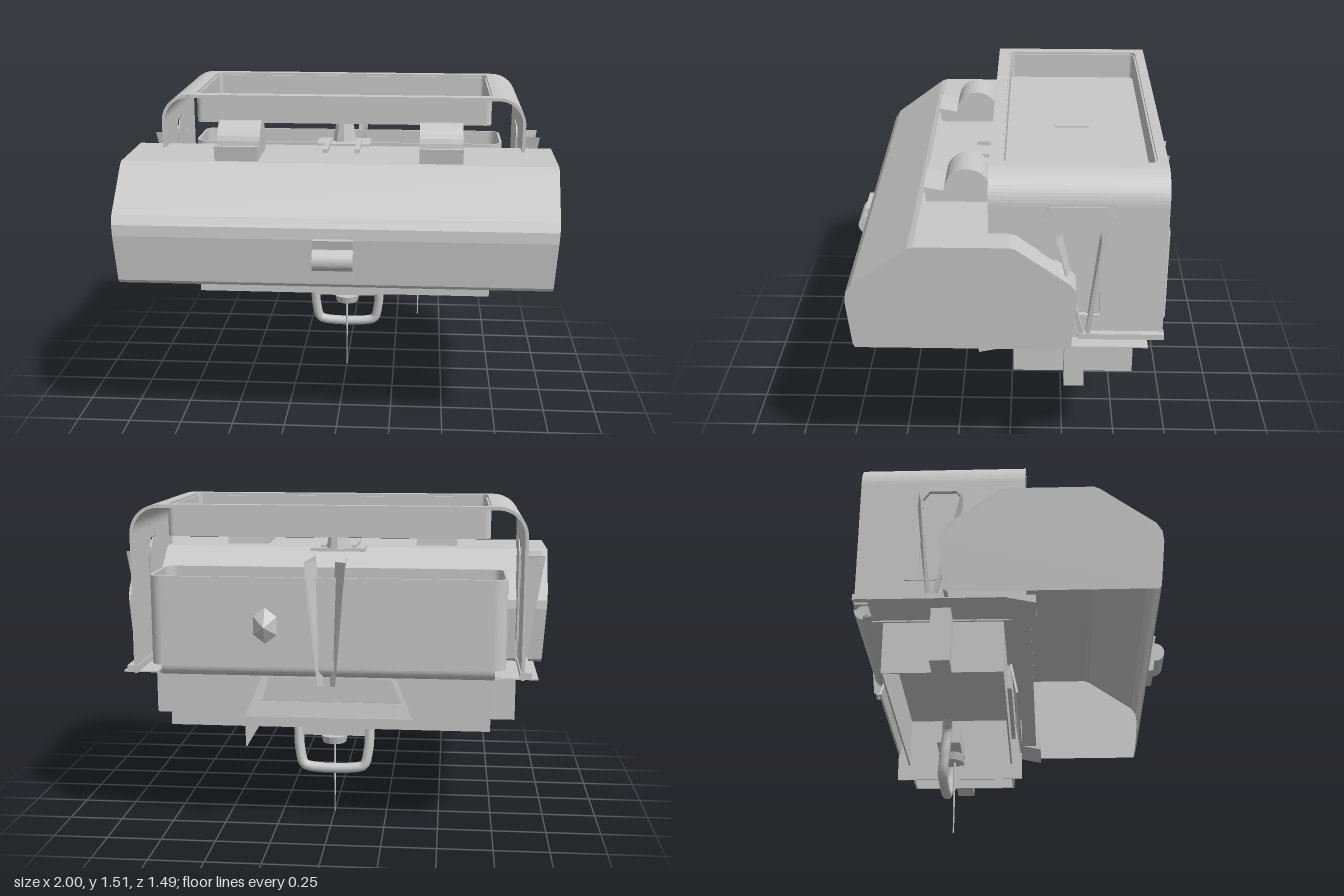
import * as THREE from 'three';

export function createModel() {
  const model = new THREE.Group();
  const grey = new THREE.MeshStandardMaterial({ color: 0xc8c8c8, side: THREE.DoubleSide, flatShading: true });
  grey.name = 'plain grey';
  const smooth = new THREE.MeshStandardMaterial({ color: 0xc8c8c8, side: THREE.DoubleSide });
  smooth.name = 'smooth grey';

  const add = (name, geometry, material = grey) => {
    const mesh = new THREE.Mesh(geometry, material);
    mesh.name = name;
    model.add(mesh);
    return mesh;
  };
  // Box given by its limits on each axis
  const block = (name, x0, x1, y0, y1, z0, z1) => add(name, new THREE.BoxGeometry(x1 - x0, y1 - y0, z1 - z0)
    .translate((x0 + x1) / 2, (y0 + y1) / 2, (z0 + z1) / 2));
  const shapeOf = pts => new THREE.Shape(pts.map(p => new THREE.Vector2(...p)));
  const extrude = (shape, depth) => new THREE.ExtrudeGeometry(shape, { depth, bevelEnabled: false, curveSegments: 12 });
  // Profile in (z, y), extruded from x0 to x1
  const zy = pts => shapeOf(pts.map(([z, y]) => [-z, y]));
  const acrossX = (name, shape, x0, x1) => add(name, extrude(shape, x1 - x0)
    .applyMatrix4(new THREE.Matrix4().set(0, 0, 1, x0, 0, 1, 0, 0, -1, 0, 0, 0, 0, 0, 0, 1)));
  // Rounded rectangle in (x, -z)
  const roundRect = (x0, x1, z0, z1, r, Kind = THREE.Shape) => {
    const s = new Kind();
    s.moveTo(x0 + r, -z1);
    s.lineTo(x1 - r, -z1).absarc(x1 - r, -z1 + r, r, -Math.PI / 2, 0);
    s.lineTo(x1, -z0 - r).absarc(x1 - r, -z0 - r, r, 0, Math.PI / 2);
    s.lineTo(x0 + r, -z0).absarc(x0 + r, -z0 - r, r, Math.PI / 2, Math.PI);
    s.lineTo(x0, -z1 + r).absarc(x0 + r, -z1 + r, r, Math.PI, Math.PI * 1.5);
    return s;
  };
  const slab = (name, shape, y0, y1) => add(name, extrude(shape, y1 - y0).rotateX(-Math.PI / 2).translate(0, y0, 0));
  const ring = (name, x0, x1, z0, z1, r, t, y0, y1) => {
    const s = roundRect(x0, x1, z0, z1, r);
    s.holes.push(roundRect(x0 + t, x1 - t, z0 + t, z1 - t, r - t, THREE.Path));
    return slab(name, s, y0, y1);
  };
  const arcPts = (cz, cy, r, a0, a1, n = 14) => Array.from({ length: n + 1 }, (_, i) => {
    const a = a0 + (a1 - a0) * i / n;
    return [cz + r * Math.cos(a), cy + r * Math.sin(a)];
  });
  // Folded blade: a broad face and a narrow flange sharing the outer edge
  const blade = (name, side, pts) => {
    const g = new THREE.BufferGeometry().setFromPoints(pts.map(([x, y, z]) => new THREE.Vector3(side * x, y, z)));
    g.setIndex([0, 1, 2, 0, 2, 3, 1, 4, 5, 1, 5, 2]);
    g.computeVertexNormals();
    add(name, g);
  };

  // Front hood: open-bottomed shell, slightly wider at the top
  const hood = [[0.65, 0.755], [0.66, 0.77], [0.68, 0.98], [0.675, 1.03], [0.65, 1.07], [0.41, 1.245], [0.385, 1.255],
    [-0.01, 1.255], [-0.035, 1.247], [-0.255, 1.085], [-0.285, 1.05], [-0.29, 1.01], [-0.27, 0.77], [-0.25, 0.755]];
  const halfWidth = y => 0.97 + (y - 0.755) * 0.06;
  const strip = [];
  for (let i = 0; i < hood.length - 1; i++) {
    const [[za, ya], [zb, yb]] = [hood[i], hood[i + 1]];
    const a = halfWidth(ya), b = halfWidth(yb);
    strip.push([-a, ya, za], [a, ya, za], [b, yb, zb], [-a, ya, za], [b, yb, zb], [-b, yb, zb]);
  }
  const hoodGeo = new THREE.BufferGeometry().setFromPoints(strip.map(p => new THREE.Vector3(...p)));
  hoodGeo.computeVertexNormals();
  add('hoodShell', hoodGeo);
  for (const s of [1, -1]) {
    const end = new THREE.ShapeGeometry(zy(hood));
    const p = end.attributes.position;
    for (let i = 0; i < p.count; i++) {
      const [a, y] = [p.getX(i), p.getY(i)];
      p.setXYZ(i, s * halfWidth(y), y, -a);
    }
    if (s < 0) end.setIndex([...end.index.array].reverse());
    end.computeVertexNormals();
    add('hoodEnd', end);
  }

  // Domed hinges on the hood and the latch on its front
  const hinge = zy([[0.08, 1.256], [0.365, 1.256], [0.375, 1.325], [0.29, 1.308], ...arcPts(0.185, 1.31, 0.101, 0, Math.PI)]);
  for (const x of [-0.57, 0.37]) acrossX('hinge', hinge, x, x + 0.2);
  acrossX('frontLatch', zy([[0.664, 0.795], [0.69, 0.795], [0.695, 0.85],
    ...arcPts(0.7, 0.895, 0.048, -Math.PI / 2, Math.PI / 2), [0.71, 0.985], [0.682, 0.985]]), -0.09, 0.09);

  // Arched frame: top rim with sunken tray
  const rim = roundRect(-0.74, 0.74, -0.665, 0.083, 0.003);
  rim.holes.push(roundRect(-0.71, 0.71, -0.62, 0.03, 0.03, THREE.Path));
  slab('topRim', rim, 1.497, 1.512);
  ring('trayWall', -0.71, 0.71, -0.62, 0.03, 0.03, 0.008, 1.37, 1.5);
  slab('trayFloor', roundRect(-0.71, 0.71, -0.62, 0.03, 0.03), 1.37, 1.378);

  const slot = [[-0.19, 0.87], [-0.39, 0.87], [-0.38, 1.29], [-0.35, 1.33], [-0.23, 1.33], [-0.2, 1.29]];
  for (const s of [1, -1]) {
    // Mirrored x limits for a part on either side
    const span = (a, b) => s > 0 ? [a, b] : [-b, -a];
    const tip = s > 0 ? 0 : Math.PI;
    add('archShoulder', extrude(shapeOf([...arcPts(s * 0.74, 1.382, 0.13, Math.PI / 2, tip),
      ...arcPts(s * 0.74, 1.382, 0.115, tip, Math.PI / 2)]), 0.748).translate(0, 0, -0.665));

    // Side panel with a recessed, backed slot and thin trim
    const panel = zy([[0.083, 0.755], [-0.665, 0.755], [-0.665, 1.384], [0.083, 1.384]]);
    panel.holes.push(new THREE.Path(zy(slot).getPoints()));
    acrossX('sidePanel', panel, ...span(0.855, 0.87));
    const trim = zy([[-0.13, 0.87], [-0.45, 0.87], [-0.45, 1.33], [-0.41, 1.38], [-0.17, 1.38], [-0.13, 1.33]]);
    trim.holes.push(new THREE.Path(zy(slot).getPoints()));
    acrossX('slotTrim', trim, ...span(0.87, 0.875));
    acrossX('slotBack', zy(slot), ...span(0.845, 0.85));

    // Two flared guide blades in each slot, converging downwards
    for (const [zt, zb] of [[-0.2, -0.31], [-0.385, -0.33]]) {
      blade('sideGuideBlade', s, [[0.845, 1.27, zt], [0.965, 1.27, zt], [0.89, 0.765, zb], [0.845, 0.765, zb],
        [0.845, 1.25, zt - 0.025], [0.89, 0.765, zb - 0.02]]);
    }
    // Foot ledge, thin end plate with drooping front lip, and post
    block('footLedge', ...span(0.85, 0.9), 0.765, 0.79, -0.67, -0.3);
    block('endPlate', ...span(0.73, 0.935), 0.744, 0.75, -0.6, 0.12);
    acrossX('endPlateLip', zy([[0.125, 0.755], [0.125, 0.715], [0.0, 0.742], [0.0, 0.75]]), ...span(0.73, 0.935));
    block('endPost', ...span(0.73, 0.85), 0.49, 0.745, -0.333, -0.245);

    // Rear guide boards and prongs over the hood
    blade('rearGuideBlade', s, [[0.07, 1.27, -0.45], [0.09, 1.275, -0.742], [0.04, 0.715, -0.69], [0.02, 0.715, -0.62],
      [0.04, 1.27, -0.68], [0.015, 0.715, -0.67]]);
    block('hoodProng', ...span(0.063, 0.087), 1.256, 1.275, -0.1, 0.17);
  }

  // Rear bin, open at the top, with a round-edged bottom
  ring('rearBinWall', -0.79, 0.79, -0.688, -0.34, 0.06, 0.012, 0.8, 1.2);
  slab('rearBinFloor', roundRect(-0.77, 0.77, -0.65, -0.35, 0.05), 0.75, 0.765);
  acrossX('rearBinEdge', zy([...arcPts(-0.638, 0.8, 0.05, Math.PI, Math.PI * 1.5), [-0.638, 0.8]]), -0.74, 0.74);
  const knob = add('diamondKnob', new THREE.ConeGeometry(0.085, 0.06, 6).rotateX(-Math.PI / 2));
  knob.scale.x = 0.75;
  knob.position.set(0.27, 0.985, -0.715);

  // Centre stud under the tray, with a fin through its floor
  add('stud', new THREE.CylinderGeometry(0.04, 0.06, 0.11, 10).translate(0, 1.315, -0.1));
  block('studBase', -0.13, 0.13, 1.25, 1.265, -0.15, 0.0);
  block('trayFin', -0.045, 0.0, 1.36, 1.385, -0.36, -0.2);

  // Lower body, open underneath, with floor plate and cross plate
  block('floorPlate', -0.74, 0.74, 0.737, 0.748, -0.6, 0.1);
  block('lowerFront', -0.73, 0.73, 0.49, 0.74, -0.028, -0.02);
  block('lowerBack', -0.73, 0.73, 0.49, 0.74, -0.555, -0.547);
  for (const x of [-0.73, 0.722]) block('lowerEnd', x, x + 0.008, 0.49, 0.74, -0.555, -0.02);
  block('crossPlate', 0.371, 0.377, 0.41, 0.75, -0.61, 0.03);

  // Sloping trapezoid flaps front and back
  for (const s of [1, -1]) {
    const frame = shapeOf([[-0.38, 0], [0.38, 0], [0.3, 0.19], [-0.3, 0.19]]);
    frame.holes.push(new THREE.Path([[-0.3, 0.07], [0.33, 0.07], [0.28, 0.18], [-0.27, 0.18]].map(p => new THREE.Vector2(...p))));
    const flap = add('flap', extrude(frame, 0.01).rotateX(-0.17));
    flap.position.set(0, 0.55, s > 0 ? 0.024 : -0.602);
    if (s < 0) flap.rotation.y = Math.PI;
    block('flapPanel', -0.3, 0.32, 0.61, 0.73, s > 0 ? -0.02 : -0.58, s > 0 ? 0.0 : -0.555);
  }

  // Carry loop, hub and needle below
  const corners = [[-0.22, 0.48], [-0.18, 0.46], [-0.165, 0.33], [-0.145, 0.25], [-0.11, 0.236], [0.11, 0.236],
    [0.145, 0.25], [0.165, 0.33], [0.18, 0.46], [0.22, 0.48]];
  const path = new THREE.CatmullRomCurve3(corners.map(([x, y]) =>
    new THREE.Vector3(x, y, -0.33 + (y - 0.236) * 0.1)), false, 'centripetal');
  add('carryLoop', new THREE.TubeGeometry(path, 48, 0.024, 10), smooth);
  block('hubMount', -0.15, 0.15, 0.4, 0.49, -0.36, -0.25);
  add('hub', new THREE.CylinderGeometry(0.065, 0.055, 0.035, 20).translate(0, 0.372, -0.3));
  add('needle', new THREE.CylinderGeometry(0.006, 0.003, 0.37, 6).translate(0, 0.185, -0.285));
  return model;
}
